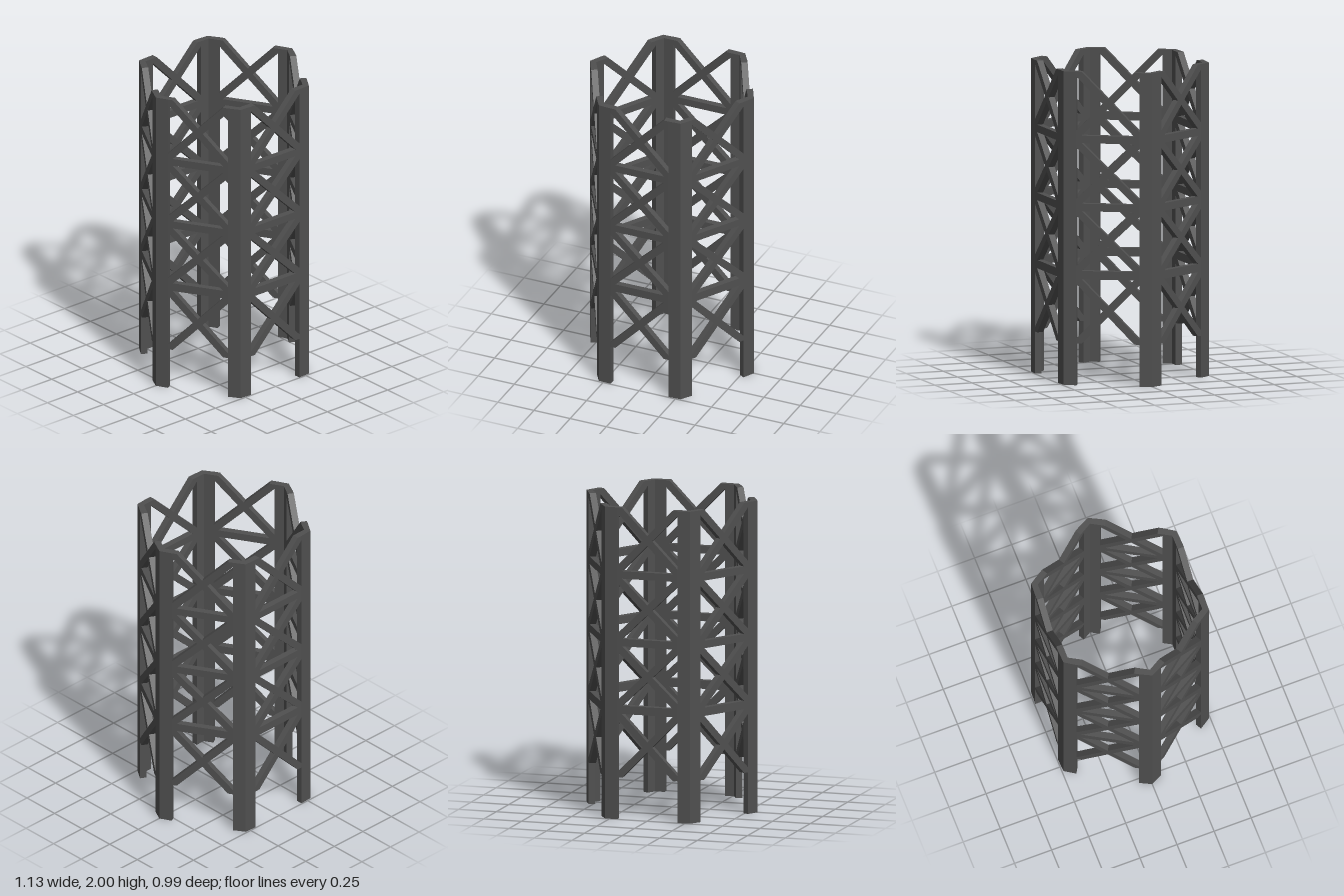
import * as THREE from 'three';

const HALF = 0.2;            // half width of a panel between two legs
const OUTER = 0.495;         // distance of the panel's outer face from the axis
const INNER = 0.454;
const BAR = 0.046;           // width of a diagonal bar
const HEIGHT = 2;
const BEAMS = [[0.677, 0.73], [1.111, 1.159], [1.545, 1.593]];
const BAYS = [[0.268, 0.677], [0.73, 1.111], [1.159, 1.545], [1.593, HEIGHT]];

const material = new THREE.MeshStandardMaterial({ color: 0x505050 });

const extrude = (points, depth) => new THREE.ExtrudeGeometry(
  new THREE.Shape(points.map(([x, y]) => new THREE.Vector2(x, y))),
  { depth, bevelEnabled: false });

// X brace filling one bay from corner to corner, as a single outline
function braceGeometry(y0, y1) {
  const slope = (y1 - y0) / (2 * HALF);
  const v = (BAR / 2) * Math.hypot(1, slope);
  const u = v / slope;
  const yc = (y0 + y1) / 2;
  return extrude([
    [-HALF, y0], [-HALF + u, y0], [0, yc - v], [HALF - u, y0],
    [HALF, y0], [HALF, y0 + v], [u, yc], [HALF, y1 - v],
    [HALF, y1], [HALF - u, y1], [0, yc + v], [-HALF + u, y1],
    [-HALF, y1], [-HALF, y1 - v], [-u, yc], [-HALF, y0 + v],
  ], OUTER - INNER).translate(0, 0, INNER);
}

// Angled leg wrapped around a corner of the hexagon
function legGeometry() {
  const c = Math.cos(Math.PI / 6), s = 0.5;
  const edge = (a) => [a * c + HALF * s, a * s - HALF * c];
  const [ox, oz] = edge(OUTER), [ix, iz] = edge(INNER);
  return extrude([
    [0.566, 0], [ox, oz], [ix, iz], [INNER / c, 0], [ix, -iz], [ox, -oz],
  ], HEIGHT).rotateX(-Math.PI / 2);
}

export function createModel() {
  const tower = new THREE.Group();
  tower.name = 'latticeTower';

  const add = (parent, geometry, name) => {
    const mesh = new THREE.Mesh(geometry, material);
    mesh.name = name;
    parent.add(mesh);
    return mesh;
  };

  const leg = legGeometry();
  const braces = BAYS.map(([y0, y1]) => braceGeometry(y0, y1));
  const beams = BEAMS.map(([y0, y1]) =>
    new THREE.BoxGeometry(2 * HALF, y1 - y0, OUTER - INNER)
      .translate(0, (y0 + y1) / 2, (OUTER + INNER) / 2));

  // Six legs and six panels around the axis
  for (let i = 0; i < 6; i++) {
    const angle = i * Math.PI / 3;
    add(tower, leg, 'leg').rotation.y = angle;

    const panel = new THREE.Group();
    panel.name = 'sidePanel';
    panel.rotation.y = angle;
    braces.forEach((g) => add(panel, g, 'crossBrace'));
    beams.forEach((g) => add(panel, g, 'horizontalBeam'));
    tower.add(panel);
  }
  return tower;
}
